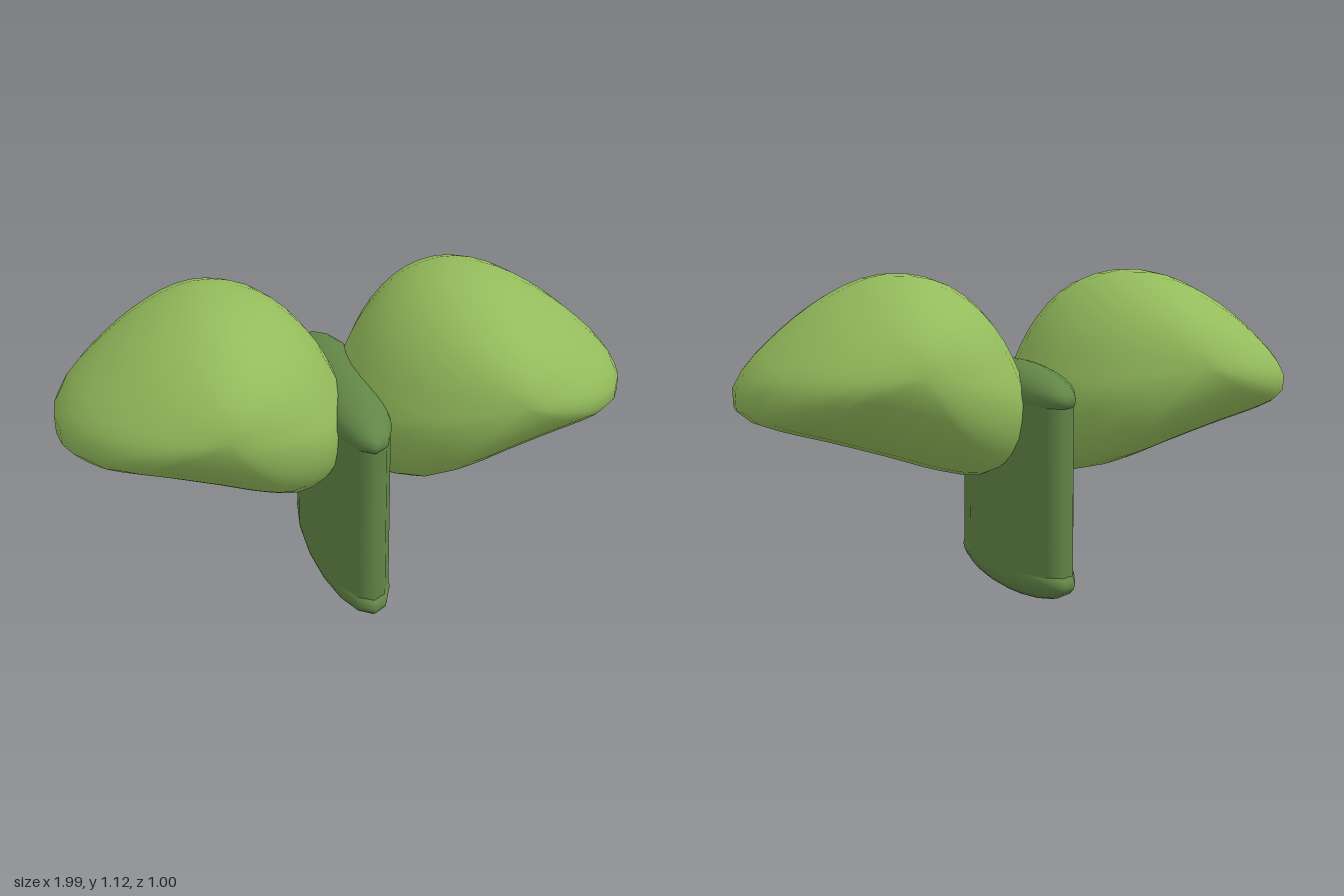
import * as THREE from 'three';
import { mergeVertices } from 'three/addons/utils/BufferGeometryUtils.js';

const leafGreen = new THREE.MeshStandardMaterial({ color: 0x94bc5c });
leafGreen.name = 'leaf green';
const stemGreen = new THREE.MeshStandardMaterial({ color: 0x628647 });
stemGreen.name = 'stem green';

// Leaf outline at mid depth, counter-clockwise, scaled towards a centre at each depth
const CENTRE = new THREE.Vector3(0.49, 0.82, 0);
const OUTLINE = new THREE.CatmullRomCurve3([
  [-0.02, 0.66], [0.03, 0.5], [0.15, 0.425], [0.3, 0.443], [0.5, 0.505], [0.7, 0.565],
  [0.9, 0.622], [0.975, 0.658], [1.0, 0.71], [0.965, 0.795], [0.85, 0.915], [0.7, 1.03],
  [0.55, 1.105], [0.43, 1.125], [0.3, 1.1], [0.2, 1.04], [0.1, 0.93], [0.025, 0.79],
].map(([x, y]) => new THREE.Vector3(x, y, 0)), true);

function leafGeometry() {
  const sphere = new THREE.SphereGeometry(1, 40, 16);
  const { position, uv } = sphere.attributes;
  for (let i = 0; i < position.count; i++) {
    const phi = (1 - uv.getY(i)) * Math.PI;
    const u = (uv.getX(i) + 1) % 1;
    const p = OUTLINE.getPointAt(u).sub(CENTRE).multiplyScalar(Math.sin(phi)).add(CENTRE);
    position.setXYZ(i, p.x, p.y, 0.5 * Math.cos(phi));
  }
  // Weld the seam so the shading stays smooth
  sphere.deleteAttribute('uv');
  sphere.deleteAttribute('normal');
  const welded = mergeVertices(sphere, 1e-4);
  welded.computeVertexNormals();
  return welded;
}

export function createModel() {
  const model = new THREE.Group();
  model.name = 'sprout';
  const add = (name, geometry, material, parent) => {
    const mesh = new THREE.Mesh(geometry, material);
    mesh.name = name;
    parent.add(mesh);
    return mesh;
  };

  // Flattened stem with a rounded cap at either end
  const stem = new THREE.Group();
  stem.name = 'stem';
  model.add(stem);
  const shaft = add('stemShaft', new THREE.CylinderGeometry(1, 1, 0.62, 16, 1, true), stemGreen, stem);
  shaft.scale.set(0.125, 1, 0.447);
  shaft.position.y = 0.41;
  for (const [name, y] of [['stemBase', 0.1], ['stemTop', 0.72]]) {
    const cap = add(name, new THREE.SphereGeometry(1, 16, 16), stemGreen, stem);
    cap.scale.set(0.125, 0.097, 0.468);
    cap.position.y = y;
  }

  // A pair of plump leaves, one turned half a circle
  const geometry = leafGeometry();
  add('leftLeaf', geometry, leafGreen, model);
  add('rightLeaf', geometry, leafGreen, model).rotation.y = Math.PI;

  return model;
}
